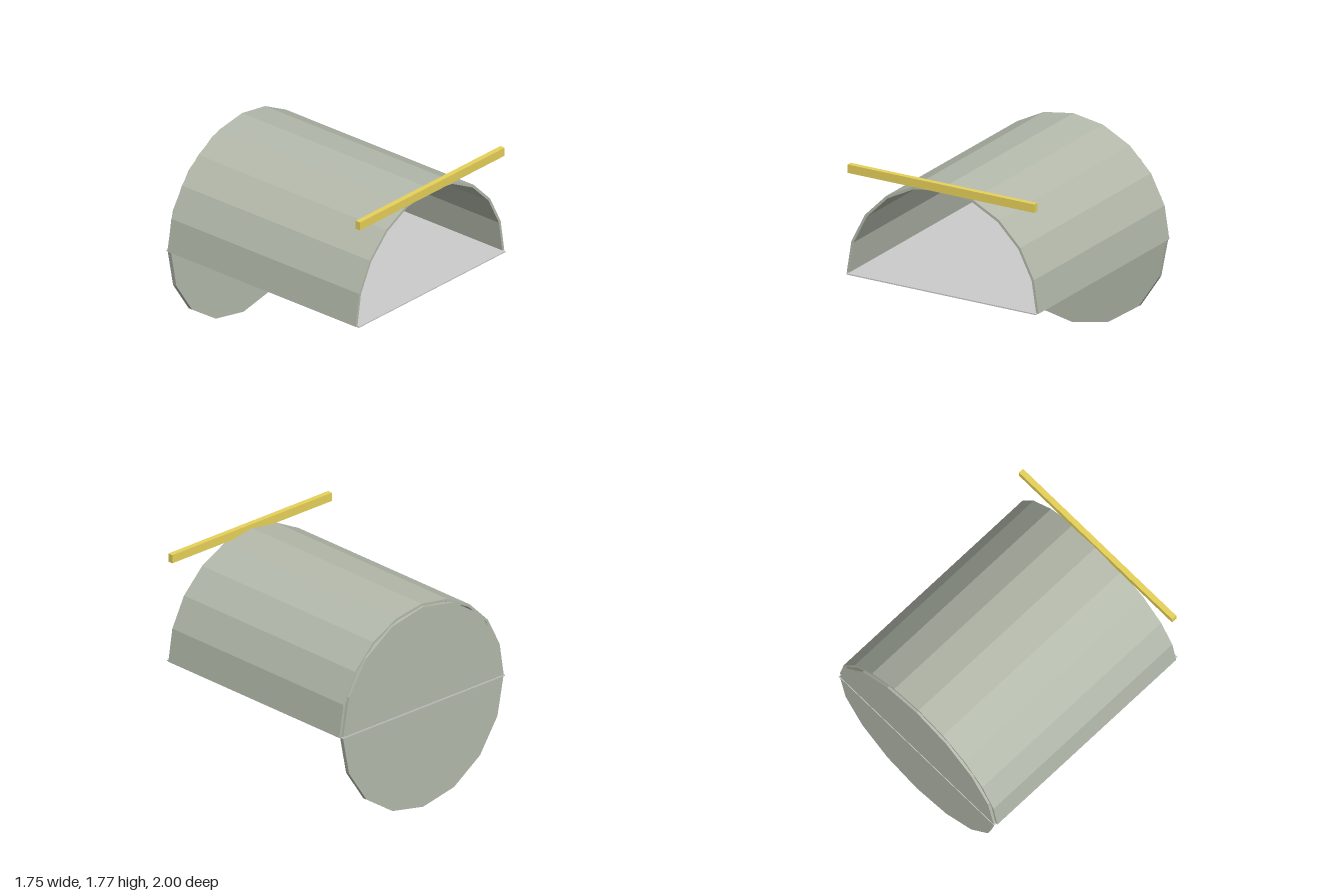
import * as THREE from 'three';

const CENTER_Y = 0.857;

function material(color) {
  return new THREE.MeshStandardMaterial({ color, flatShading: true, side: THREE.DoubleSide });
}

function add(group, name, geometry, mat, x, y, z) {
  const mesh = new THREE.Mesh(geometry, mat);
  mesh.name = name;
  mesh.position.set(x, y, z);
  group.add(mesh);
  return mesh;
}

// Half ring with straight facets, from the right side over the top to the left
function archShape(outer, inner, segments) {
  const points = [];
  for (let i = 0; i <= segments; i++) {
    const a = (i / segments) * Math.PI;
    points.push(new THREE.Vector2(outer * Math.cos(a), outer * Math.sin(a)));
  }
  for (let i = segments; i >= 0; i--) {
    const a = (i / segments) * Math.PI;
    points.push(new THREE.Vector2(inner * Math.cos(a), inner * Math.sin(a)));
  }
  return new THREE.Shape(points);
}

export function createModel() {
  const group = new THREE.Group();
  const metal = material(0xb4baac);
  const grey = material(0xcccccc);
  const yellow = material(0xe8d25a);

  // Faceted half-barrel roof
  const arch = new THREE.ExtrudeGeometry(archShape(0.877, 0.855, 10), { depth: 1.95, bevelEnabled: false });
  add(group, 'archedRoof', arch, metal, 0, CENTER_Y, -0.975);

  // Thin flat floor closing the half-barrel
  add(group, 'floor', new THREE.BoxGeometry(1.73, 0.01, 2), grey, 0, CENTER_Y, 0);

  // Round back wall, hanging below the floor
  const disc = new THREE.CylinderGeometry(0.857, 0.857, 0.035, 16);
  disc.rotateX(Math.PI / 2);
  add(group, 'backWall', disc, metal, 0, CENTER_Y, -0.9775);

  // Bar across the front opening
  add(group, 'frontBar', new THREE.BoxGeometry(1.706, 0.07, 0.045), yellow, 0, 1.735, 0.9775);

  return group;
}
